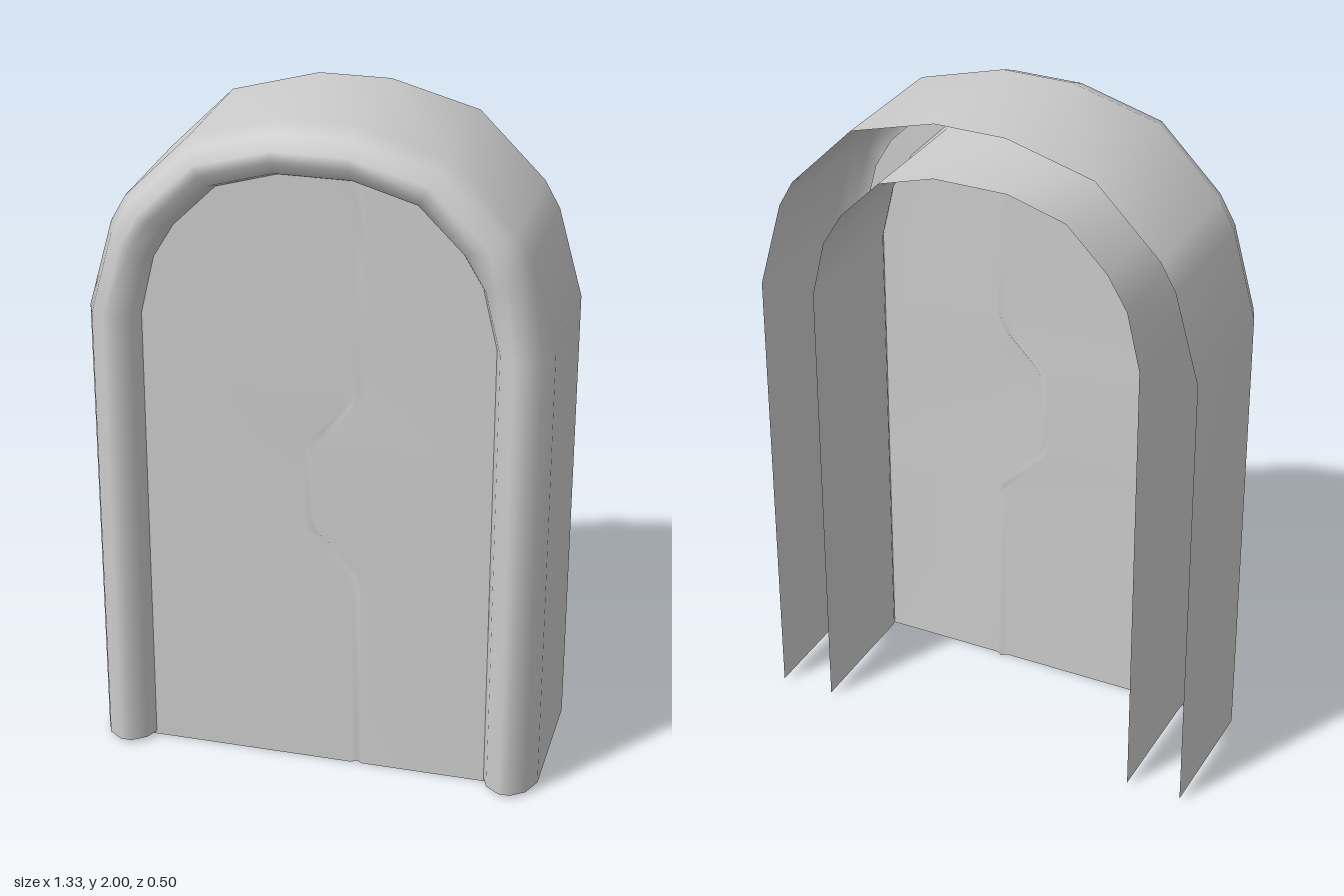
import * as THREE from 'three';

const material = new THREE.MeshStandardMaterial({ color: 0xcccccc, side: THREE.DoubleSide });

// Smooth surface through a grid of points: rows[i][j] = [x, y, z]
function gridMesh(name, rows) {
  const cols = rows[0].length;
  const index = [];
  for (let i = 0; i < rows.length - 1; i++) {
    for (let j = 0; j < cols - 1; j++) {
      const a = i * cols + j, b = a + 1, c = a + cols, d = c + 1;
      index.push(a, b, c, b, d, c);
    }
  }
  const geometry = new THREE.BufferGeometry();
  geometry.setAttribute('position', new THREE.Float32BufferAttribute(rows.flat(2), 3));
  geometry.setIndex(index);
  geometry.computeVertexNormals();
  const mesh = new THREE.Mesh(geometry, material);
  mesh.name = name;
  return mesh;
}

// Piecewise linear lookup in a list of [key, value]
function lookup(table, key) {
  for (let i = 1; i < table.length; i++) {
    const [k0, v0] = table[i - 1], [k1, v1] = table[i];
    if (key <= k1) return v0 + (v1 - v0) * (key - k0) / (k1 - k0);
  }
  return table[table.length - 1][1];
}

// Half of the arch, foot to crown: outer x, outer y, inner x, inner y
const HALF_ARCH = [
  [0.667, 0.01, 0.5, 0.01],
  [0.667, 1.4, 0.5, 1.4],
  [0.595, 1.66, 0.46, 1.57],
  [0.55, 1.74, 0.4, 1.67],
  [0.36, 1.93, 0.28, 1.79],
  [0.105, 2.0, 0.11, 1.84],
];

// Frame section: [0 = outer face .. 1 = inner face, z]
const SECTION = [
  [0, -0.25], [0, 0.16], [0.15, 0.22], [0.4, 0.25],
  [0.6, 0.25], [0.85, 0.22], [1, 0.16], [1, -0.25],
];

// Centre line of the groove: [y, x]
const SEAM = [
  [0, 0.12], [0.6, 0.12], [0.64, 0.105], [0.73, 0.03], [0.77, -0.015], [0.82, -0.025],
  [1.0, -0.025], [1.05, -0.015], [1.09, 0.015], [1.17, 0.095], [1.22, 0.12], [1.95, 0.12],
];

const PANEL_Z = 0.18, GROOVE_WIDTH = 0.016, GROOVE_DEPTH = 0.012;

export function createModel() {
  const model = new THREE.Group();
  model.name = 'archway';

  // Hollow frame with a rounded front lip, open at the back and the feet
  const mirrored = HALF_ARCH.map(([ox, oy, ix, iy]) => [-ox, oy, -ix, iy]).reverse();
  const stations = [...HALF_ARCH, ...mirrored];
  const frameRows = SECTION.map(([t, z]) => stations.map(([ox, oy, ix, iy]) =>
    [ox + (ix - ox) * t, oy + (iy - oy) * t, z]));
  // rows run across the section, columns along the arch
  frameRows.reverse();
  frameRows.forEach((row) => row.reverse());
  model.add(gridMesh('archFrame', frameRows));

  // Door panel, its edge buried in the middle of the frame, with a bent groove
  const edge = HALF_ARCH.map(([ox, oy, ix, iy]) => [(oy + iy) / 2, (ox + ix) / 2]);
  edge[0][0] = 0;
  const top = edge[edge.length - 1][0];
  const heights = [...new Set([...edge, ...SEAM].map(([y]) => y))]
    .filter((y) => y <= top).sort((a, b) => a - b);
  const panelRows = heights.map((y) => {
    const half = lookup(edge, y), seam = lookup(SEAM, y);
    const clamp = (x) => Math.min(x, half);
    return [
      [-half, y, PANEL_Z],
      [clamp(seam - GROOVE_WIDTH), y, PANEL_Z],
      [clamp(seam), y, PANEL_Z - GROOVE_DEPTH],
      [clamp(seam + GROOVE_WIDTH), y, PANEL_Z],
      [half, y, PANEL_Z],
    ];
  });
  model.add(gridMesh('doorPanel', panelRows));

  return model;
}
